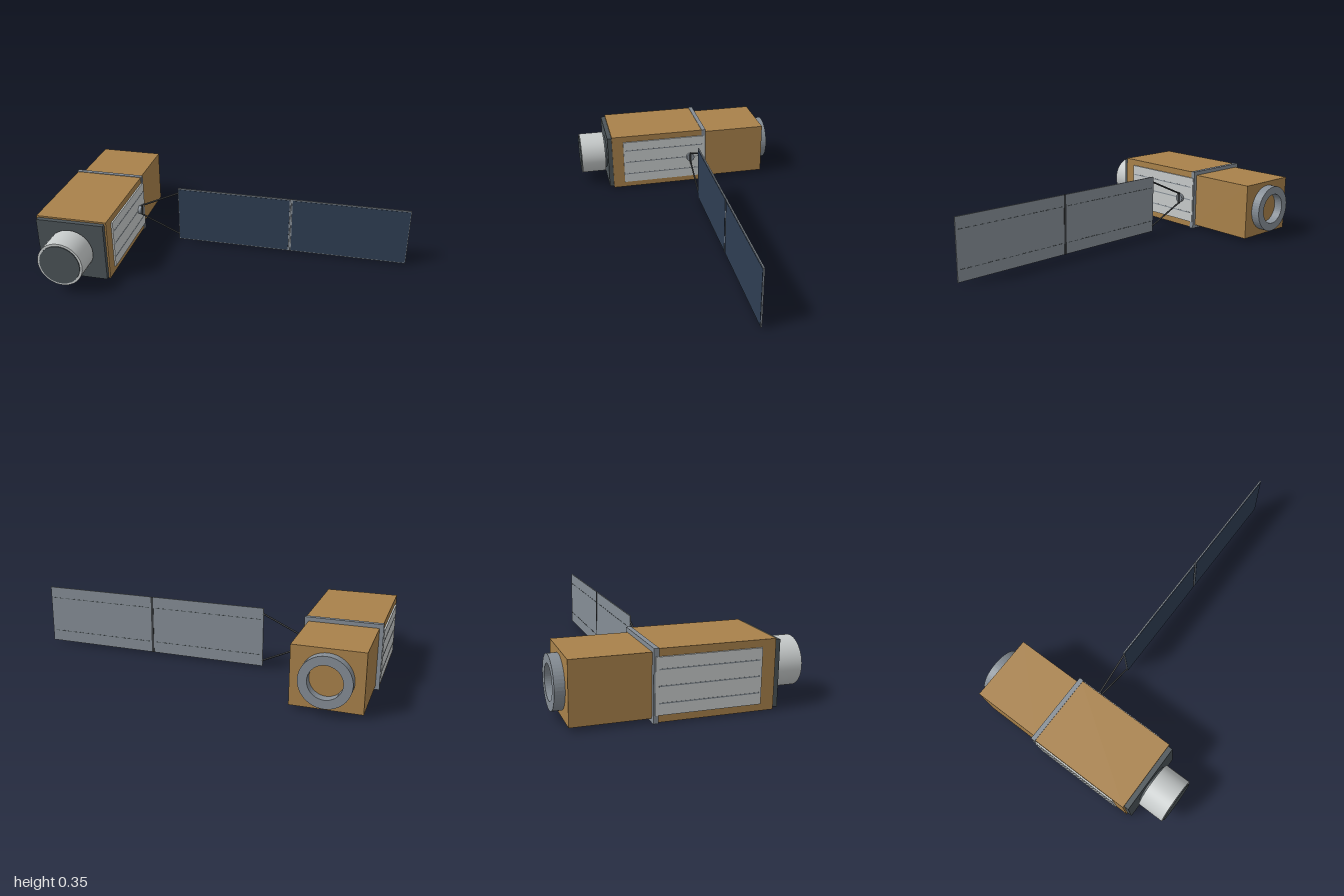
import * as THREE from 'three';

const mat = (name, color, side = THREE.FrontSide) => {
  const m = new THREE.MeshStandardMaterial({ color, side });
  m.name = name;
  return m;
};

export function createModel() {
  const gold = mat('gold foil', 0xa8814a);
  const silver = mat('silver', 0xc6caca);
  const grey = mat('metal grey', 0x858d95);
  const dark = mat('dark grey', 0x4b5357);
  const strutDark = mat('strut grey', 0x3a3d40);
  const navy = mat('solar blue', 0x2e3d52);

  const root = new THREE.Group();
  root.name = 'satellite';
  const CX = -0.7925, CY = 0.178, PZ = -0.077;

  const add = (name, geo, material, x, y, z) => {
    const mesh = new THREE.Mesh(geo, material);
    mesh.name = name;
    mesh.position.set(x, y, z);
    root.add(mesh);
    return mesh;
  };
  // box given by its lower and upper corner
  const box = (name, material, x0, x1, y0, y1, z0, z1) =>
    add(name, new THREE.BoxGeometry(x1 - x0, y1 - y0, z1 - z0), material,
      (x0 + x1) / 2, (y0 + y1) / 2, (z0 + z1) / 2);
  // closed ring around the z axis
  const ring = (name, material, outer, inner, z0, z1) => {
    const s = new THREE.Shape();
    s.absarc(0, 0, outer, 0, Math.PI * 2);
    const h = new THREE.Path();
    h.absarc(0, 0, inner, 0, Math.PI * 2, true);
    s.holes.push(h);
    const g = new THREE.ExtrudeGeometry(s, { depth: z1 - z0, bevelEnabled: false, curveSegments: 24 });
    return add(name, g, material, CX, CY, z0);
  };
  const disc = (name, material, r, z0, z1) => {
    const g = new THREE.CylinderGeometry(r, r, z1 - z0, 48).rotateX(Math.PI / 2);
    return add(name, g, material, CX, CY, (z0 + z1) / 2);
  };
  const rod = (name, a, b, r) => {
    const d = b.clone().sub(a);
    const m = add(name, new THREE.CylinderGeometry(r, r, d.length(), 10), strutDark, 0, 0, 0);
    m.position.copy(a).add(b).multiplyScalar(0.5);
    m.quaternion.setFromUnitVectors(new THREE.Vector3(0, 1, 0), d.normalize());
  };

  // bus: main body, collar, rear body and front plate
  box('mainBody', gold, CX - 0.199, CX + 0.199, 0.004, 0.352, -0.17, 0.422);
  box('collar', grey, CX - 0.204, CX + 0.204, 0, 0.355, -0.18, -0.155);
  box('rearBody', gold, CX - 0.183, CX + 0.183, 0.02, 0.333, -0.565, -0.17);
  box('frontPlate', dark, CX - 0.19, CX + 0.19, 0.012, 0.343, 0.42, 0.449);

  // front instrument barrel with dark aperture
  disc('barrelNeck', dark, 0.105, 0.445, 0.47);
  disc('barrel', silver, 0.126, 0.46, 0.61);
  disc('aperture', dark, 0.113, 0.608, 0.615);

  // rear adapter ring
  ring('adapterRing', grey, 0.133, 0.087, -0.615, -0.563);

  // radiator plates with grooves on both sides
  for (const s of [-1, 1]) {
    const x = CX + s * 0.2025;
    box('radiator', silver, x - 0.005, x + 0.005, 0.04, 0.315, -0.172, 0.352);
    for (const y of [0.097, 0.178, 0.257]) {
      const gx = CX + s * 0.2075;
      box('radiatorGroove', grey, gx - 0.001, gx + 0.001, y - 0.003, y + 0.003, -0.155, 0.342);
    }
  }

  // array hinge and yoke
  const hub = add('arrayHub', new THREE.CylinderGeometry(0.025, 0.025, 0.02, 24), grey, -0.577, CY, PZ);
  hub.rotation.z = Math.PI / 2;
  box('hubBracket', strutDark, -0.57, -0.562, 0.15, 0.206, PZ - 0.006, PZ + 0.006);
  for (const s of [-1, 1]) {
    rod('yokeStrut', new THREE.Vector3(-0.572, CY + s * 0.028, PZ),
      new THREE.Vector3(-0.334, CY + s * 0.137, PZ), 0.005);
  }

  // solar panels: grey frame, blue cells in front, dashed seams behind
  for (const [x0, x1] of [[-0.338, 0.326], [0.336, 1]]) {
    box('panelFrame', grey, x0, x1, 0.01, 0.346, PZ - 0.004, PZ + 0.003);
    box('solarCells', navy, x0 + 0.004, x1 - 0.004, 0.016, 0.34, PZ + 0.002, PZ + 0.005);
    for (const y of [0.075, 0.281]) {
      for (let i = 0; i < 16; i++) {
        const x = x0 + 0.014 + i * 0.0405;
        box('panelSeam', dark, x, x + 0.026, y - 0.002, y + 0.002, PZ - 0.005, PZ - 0.0035);
      }
    }
  }
  box('panelHinge', strutDark, 0.324, 0.338, 0.01, 0.346, PZ - 0.006, PZ - 0.003);
  box('panelHingeFace', grey, 0.328, 0.334, 0.01, 0.346, PZ - 0.003, PZ + 0.002);

  return root;
}
